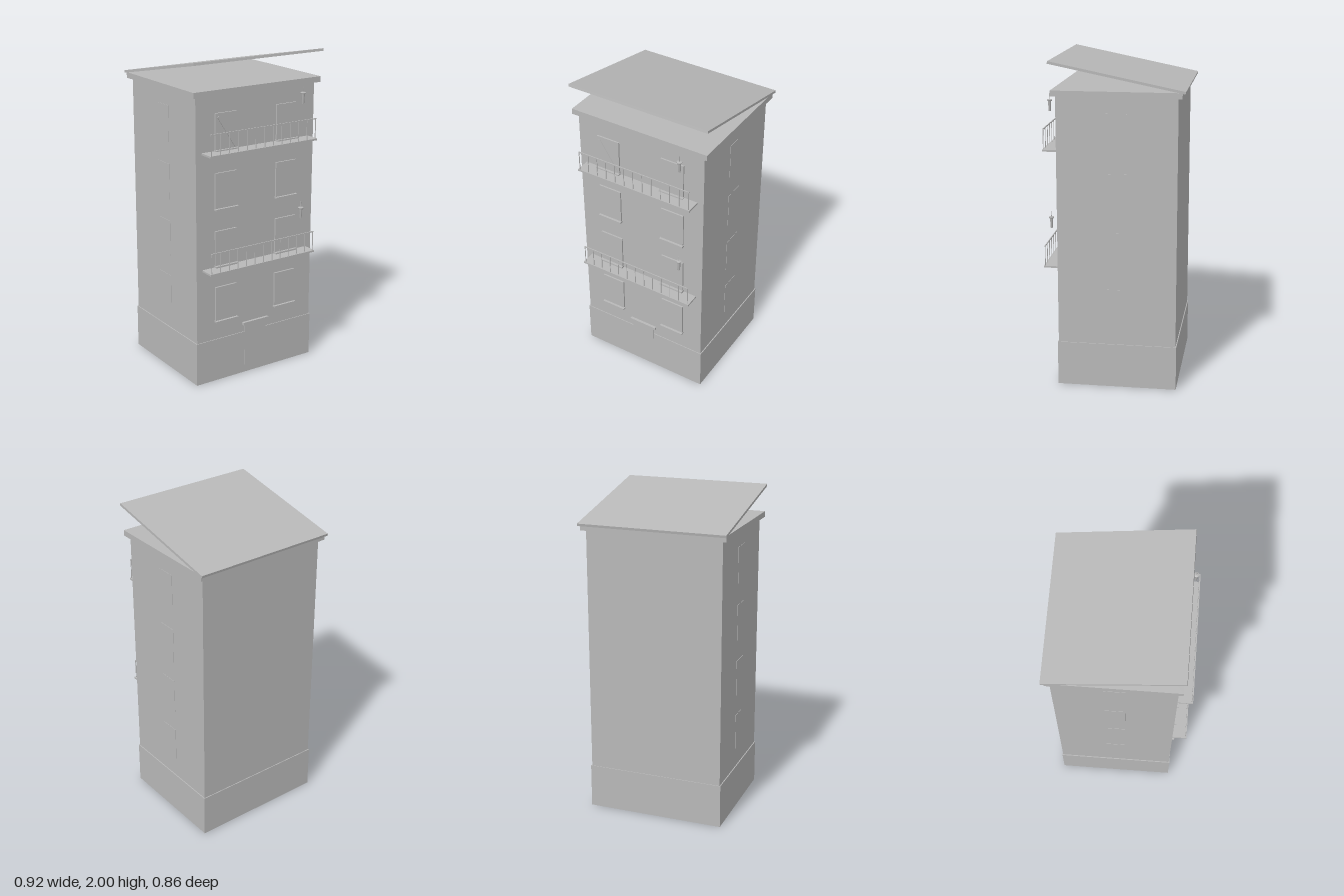
import * as THREE from 'three';

export function createModel() {
  const model = new THREE.Group();
  const plaster = new THREE.MeshStandardMaterial({ color: 0xb8b8b8 });
  plaster.name = 'grey plaster';

  const add = (name, geometry, parent = model) => {
    const mesh = new THREE.Mesh(geometry, plaster);
    mesh.name = name;
    parent.add(mesh);
    return mesh;
  };
  // Box given by its limits on each axis
  const box = (name, [x0, x1], [y0, y1], [z0, z1], parent = model) => {
    const mesh = add(name, new THREE.BoxGeometry(x1 - x0, y1 - y0, z1 - z0), parent);
    mesh.position.set((x0 + x1) / 2, (y0 + y1) / 2, (z0 + z1) / 2);
    return mesh;
  };

  // Tower block, plinth and cornice
  const wallX = [-0.428, 0.424];
  box('walls', wallX, [0.01, 1.8], [-0.385, 0.335]);
  box('plinth', [-0.434, 0.43], [0, 0.275], [-0.39, 0.34]);
  box('cornice', [-0.456, 0.452], [1.795, 1.83], [-0.41, 0.36]);

  // Tilted roof sheet, a thin profile drawn in z and y
  const profile = new THREE.Shape();
  profile.moveTo(0.427, 1.824);
  profile.lineTo(0.43, 1.839);
  profile.lineTo(-0.37, 2);
  profile.lineTo(-0.373, 1.985);
  const roof = new THREE.ExtrudeGeometry(profile, { depth: 0.922, bevelEnabled: false });
  roof.translate(0, 0, -0.461).rotateY(Math.PI / 2);
  add('roof', roof);

  // Windows on the front, flush windows on the sides
  for (const y of [0.39, 0.747, 1.105, 1.463]) {
    for (const x of [-0.223, 0.217]) {
      box('window', [x - 0.076, x + 0.076], [y + 0.005, y + 0.227], [0.33, 0.345]);
      box('windowSill', [x - 0.08, x + 0.08], [y, y + 0.01], [0.33, 0.36]);
    }
    for (const x of wallX) {
      box('sideWindow', [x - 0.002, x + 0.002], [y + 0.012, y + 0.235], [-0.088, 0.038]);
    }
  }

  // Plank leaning across the upper left window
  const plank = add('plank', new THREE.BoxGeometry(0.013, 0.225, 0.006));
  plank.position.set(-0.22, 1.575, 0.347);
  plank.rotation.z = Math.atan2(0.123, 0.19);

  // Door and its canopy
  box('door', [-0.08, 0.076], [0.012, 0.327], [0.33, 0.341]);
  box('doorCanopy', [-0.097, 0.092], [0.323, 0.34], [0.33, 0.352]);

  // Two balconies with railings and a small goblet floating above each
  for (const y of [0.735, 1.455]) {
    const balcony = new THREE.Group();
    balcony.name = 'balcony';
    balcony.position.y = y;
    model.add(balcony);
    box('balconySlab', [-0.388, 0.384], [0, 0.011], [0.33, 0.428], balcony);
    box('handrail', [-0.38, 0.377], [0.131, 0.137], [0.418, 0.424], balcony);
    for (let i = 0; i <= 12; i++) {
      const x = -0.377 + i * 0.0626;
      box('baluster', [x - 0.002, x + 0.002], [0.01, 0.133], [0.419, 0.423], balcony);
    }
    const goblet = [[0, 0], [0.007, 0], [0.01, 0.058], [0.016, 0.063], [0.016, 0.07], [0, 0.07]];
    const cup = add('goblet', new THREE.LatheGeometry(goblet.map(p => new THREE.Vector2(...p)), 12), balcony);
    cup.position.set(0.297, 0.23, 0.394);
    const stick = add('stick', new THREE.CylinderGeometry(0.002, 0.002, 0.04, 6), balcony);
    stick.position.set(0.297, 0.315, 0.395);
  }

  return model;
}
